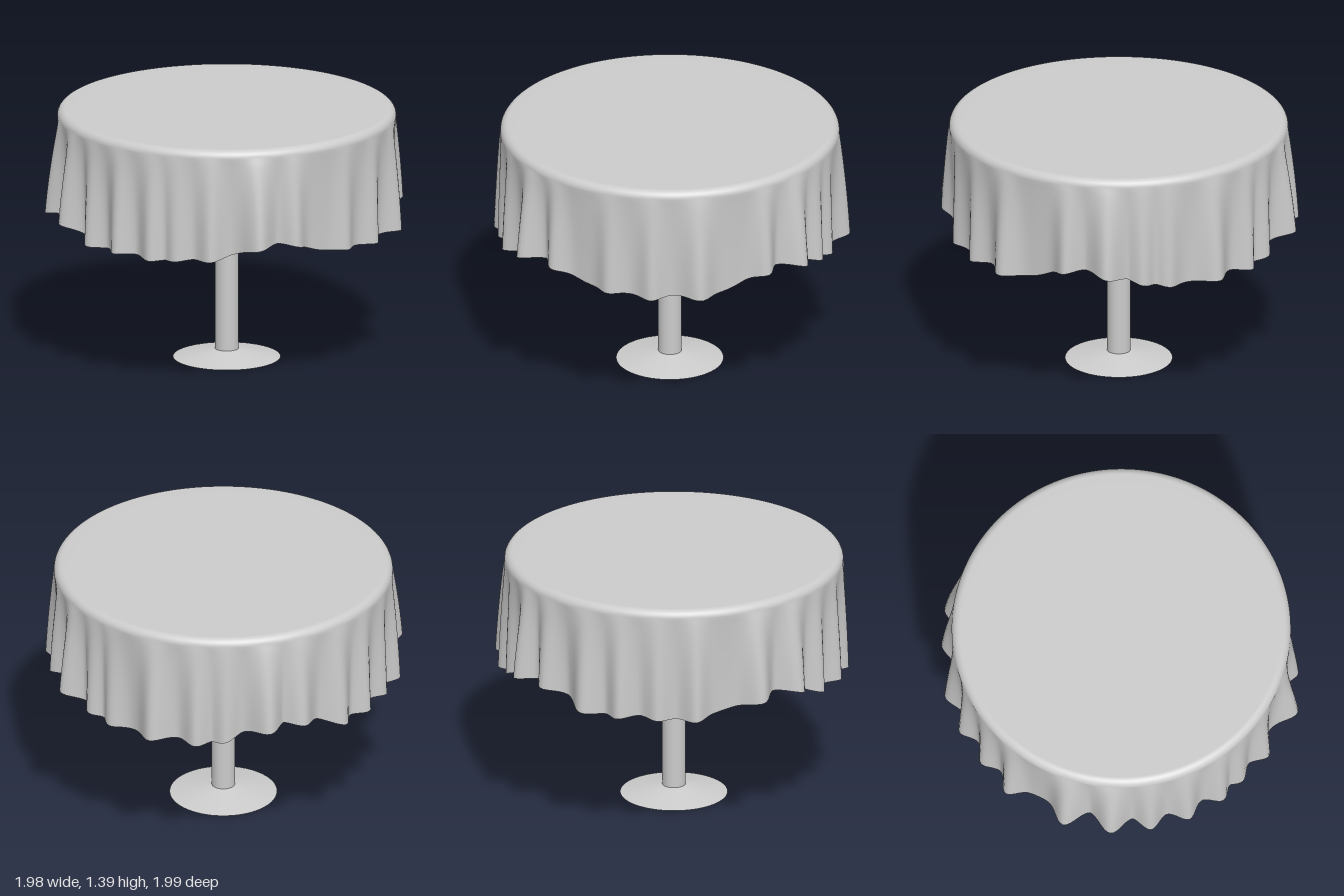
import * as THREE from 'three';

const material = new THREE.MeshStandardMaterial({ color: 0xcccccc });
const clothMaterial = new THREE.MeshStandardMaterial({ color: 0xcccccc, side: THREE.DoubleSide });

// Folds of the cloth: angle in degrees (from +x towards +z), radius of the crest at the hem
const FOLDS = [
  [-7, 0.995], [7, 0.965], [31, 0.975], [47, 0.945], [62, 0.935], [83, 0.96], [96, 1.0],
  [112, 0.955], [124, 0.935], [133, 0.95], [146, 0.96], [159, 0.96], [172, 0.995],
  [187, 0.995], [209, 0.965], [222, 0.945], [235, 0.955], [248, 0.97], [264, 0.975],
  [276, 1.0], [290, 0.945], [300, 0.955], [315, 0.975], [332, 0.94], [341, 0.95],
];
const TOP = 1.395, EDGE = 0.915, ROUND = 0.045, VALLEY = 0.885;

// Signed difference of two angles in degrees, within -180..180
const angleGap = (a, b) => ((a - b + 540) % 360 + 360) % 360 - 180;

// Crest distance beyond the valley radius at the hem; the strongest fold wins
function foldAt(deg) {
  let out = 0;
  for (const [centre, crest] of FOLDS) {
    const width = crest > 0.965 ? 3.4 : 2.8;
    const g = angleGap(deg, centre) / width;
    out = Math.max(out, (crest - VALLEY) * Math.exp(-0.5 * g * g));
  }
  return out;
}

// The hem rises over the four axes and hangs low on the diagonals
function hemAt(deg, fold) {
  const g = angleGap(deg, Math.round(deg / 90) * 90) / 12.5;
  const ripple = 0.006 * Math.sin(deg * Math.PI / 180 * 13);
  return 0.772 + 0.092 * Math.exp(-0.5 * Math.pow(Math.abs(g), 2.6)) + ripple * Math.min(1, Math.abs(g)) - 0.05 * fold;
}

function clothGeometry() {
  const segments = 360, drops = 22, arcs = 7;
  const flat = [0.3, 0.6, 0.8, EDGE - ROUND];
  const rings = flat.length + arcs + drops;
  const positions = [0, TOP, 0], index = [];
  for (let j = 0; j < rings; j++) {
    for (let i = 0; i < segments; i++) {
      const deg = i * 360 / segments, a = deg * Math.PI / 180;
      let r, y;
      if (j < flat.length) {
        r = flat[j];
        y = TOP;
      } else if (j < flat.length + arcs) {
        // rounded shoulder over the table edge
        const q = (j - flat.length + 1) / arcs * Math.PI / 2;
        r = EDGE - ROUND + ROUND * Math.sin(q);
        y = TOP - ROUND + ROUND * Math.cos(q);
      } else {
        // hanging skirt, the folds opening towards the hem
        const t = (j - flat.length - arcs + 1) / drops;
        const fold = foldAt(deg);
        const open = Math.pow(t, 0.8) * (1 - 0.12 * t * t) / 0.88;
        r = EDGE + (VALLEY - EDGE + fold) * open;
        y = THREE.MathUtils.lerp(TOP - ROUND, hemAt(deg, fold), t);
      }
      positions.push(r * Math.cos(a), y, r * Math.sin(a));
    }
  }
  const at = (j, i) => 1 + j * segments + i % segments;
  for (let i = 0; i < segments; i++) {
    index.push(0, at(0, i + 1), at(0, i));
    for (let j = 0; j < rings - 1; j++) {
      index.push(at(j, i), at(j, i + 1), at(j + 1, i));
      index.push(at(j, i + 1), at(j + 1, i + 1), at(j + 1, i));
    }
  }
  const geometry = new THREE.BufferGeometry();
  geometry.setAttribute('position', new THREE.Float32BufferAttribute(positions, 3));
  geometry.setIndex(index);
  geometry.computeVertexNormals();
  return geometry;
}

export function createModel() {
  const group = new THREE.Group();
  const add = (name, geometry, y, mat = material) => {
    const mesh = new THREE.Mesh(geometry, mat);
    mesh.name = name;
    mesh.position.y = y;
    group.add(mesh);
  };

  add('tablecloth', clothGeometry(), 0, clothMaterial);
  // Round slab under the cloth
  add('tableTop', new THREE.CylinderGeometry(0.89, 0.89, 0.05, 96), 1.35);
  // Pedestal and its shallow conical foot
  add('pedestal', new THREE.CylinderGeometry(0.063, 0.063, 1.3, 48), 0.69);
  add('foot', new THREE.CylinderGeometry(0.063, 0.29, 0.045, 64), 0.0225);
  return group;
}
